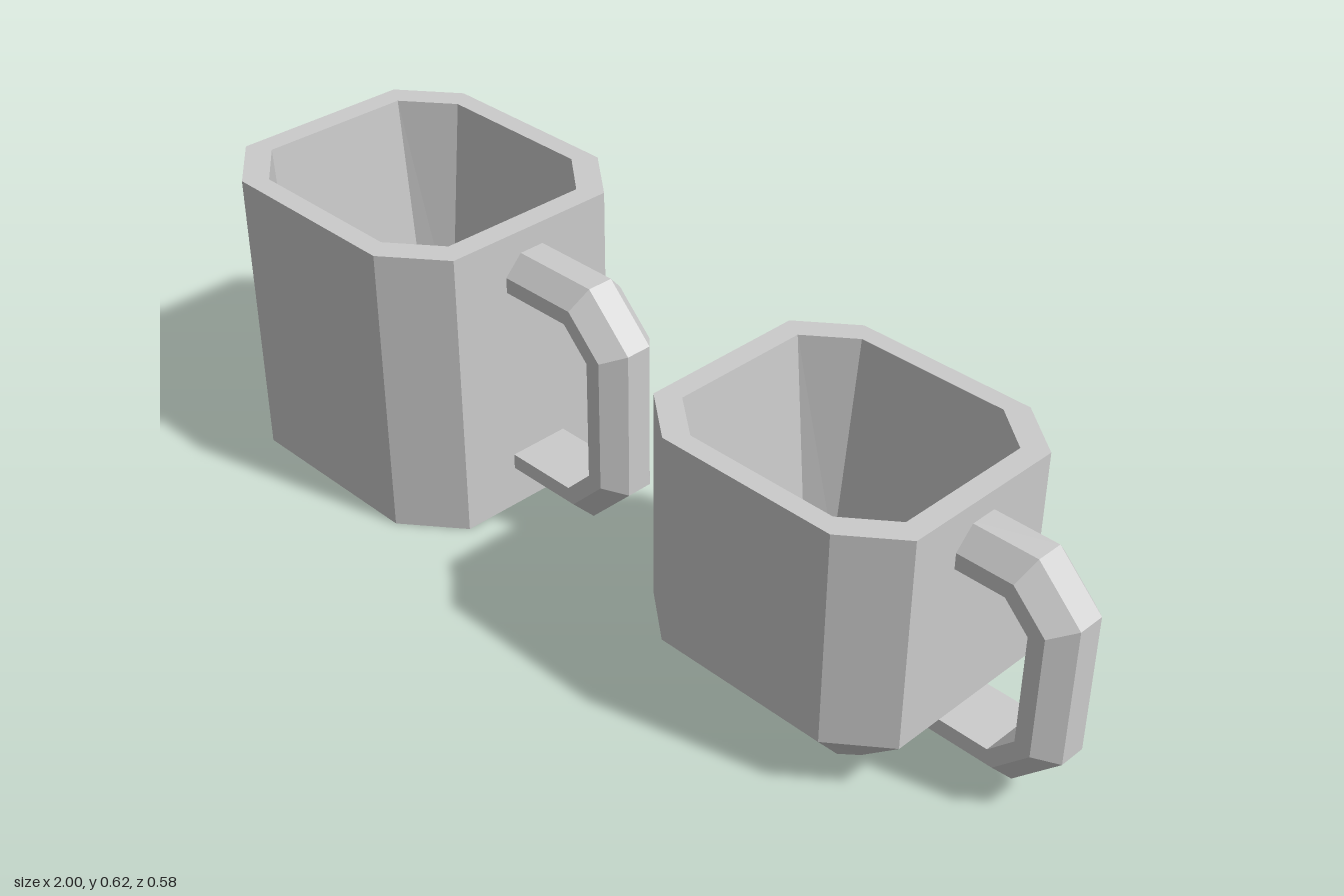
import * as THREE from 'three';

const material = new THREE.MeshStandardMaterial({ color: 0xcccccc, flatShading: true });

// Joins a list of rings (arrays of Vector3) into a closed, faceted surface.
function loft(rings) {
  const pos = [];
  const tri = (...pts) => pts.forEach((p) => pos.push(p.x, p.y, p.z));
  const n = rings[0].length;
  const centre = (ring) => ring.reduce((s, p) => s.add(p), new THREE.Vector3()).divideScalar(n);
  const first = rings[0], last = rings[rings.length - 1];
  const c0 = centre(first), c1 = centre(last);
  for (let j = 0; j < n; j++) {
    const k = (j + 1) % n;
    tri(c0, first[j], first[k]);
    tri(c1, last[k], last[j]);
    for (let i = 0; i < rings.length - 1; i++) {
      const a = rings[i], b = rings[i + 1];
      tri(a[j], b[j], b[k]);
      tri(a[j], b[k], a[k]);
    }
  }
  const geometry = new THREE.BufferGeometry();
  geometry.setAttribute('position', new THREE.Float32BufferAttribute(pos, 3));
  geometry.computeVertexNormals();
  return geometry;
}

// Rectangle with cut corners: half sizes hx, hz and half lengths fx, fz of the flats.
function octagon(y, hx, hz, fx, fz) {
  return [[hx, -fz], [hx, fz], [fx, hz], [-fx, hz], [-hx, fz], [-hx, -fz], [-fx, -hz], [fx, -hz]]
    .map(([x, z]) => new THREE.Vector3(x, y, z));
}

// Handle: a six-sided section swept along a mitred C-shaped path.
function handleGeometry({ startTop, startBottom, bend, reach, top, upper, lower, bottom }) {
  const section = [[0.073, 0.067], [0.04, 0.067], [0, 0.028], [0, -0.028], [0.04, -0.067], [0.073, -0.067]];
  const t = Math.tan(Math.PI / 8);
  // x, y of the outer edge, then the inward mitre direction
  const path = [
    [startTop, top, 0, -1], [bend, top, -t, -1], [reach, upper, -1, -t],
    [reach, lower, -1, t], [bend, bottom, -t, 1], [startBottom, bottom, 0, 1],
  ];
  return loft(path.map(([x, y, dx, dy]) =>
    section.map(([d, z]) => new THREE.Vector3(x + dx * d, y + dy * d, z))));
}

function mug(name, x, rings, handle) {
  const group = new THREE.Group();
  group.name = name;
  group.position.x = x;
  const body = new THREE.Mesh(loft(rings), material);
  body.name = 'cupBody';
  const grip = new THREE.Mesh(handleGeometry(handle), material);
  grip.name = 'handle';
  group.add(body, grip);
  return group;
}

// Rim, inner wall and dished floor, scaled from the outer half sizes.
function upperRings(height, hx, hz, fx, fz) {
  const s = 0.85;
  return [
    octagon(height, hx, hz, fx, fz),
    octagon(height, hx * s, hz * s, fx * s, fz * s),
    octagon(0.1, hx * 0.72, hz * 0.72, hx * 0.58, hz * 0.58),
    octagon(0.07, hx * 0.4, hz * 0.4, hx * 0.38, hz * 0.38),
  ];
}

export function createModel() {
  const model = new THREE.Group();
  model.name = 'mugs';

  // Tall straight-sided mug
  const tall = [0.33, 0.288, 0.21, 0.193];
  model.add(mug('tallMug', -0.67, [octagon(0, ...tall), ...upperRings(0.625, ...tall)], {
    startTop: 0.315, startBottom: 0.315, bend: 0.523, reach: 0.627,
    top: 0.577, upper: 0.473, lower: 0.154, bottom: 0.05,
  }));

  // Smaller mug with a tapered foot
  const small = [0.298, 0.26, 0.19, 0.175];
  model.add(mug('taperedMug', 0.473, [
    octagon(0, 0.182, 0.158, 0.15, 0.13),
    octagon(0.12, ...small),
    ...upperRings(0.563, ...small),
  ], {
    startTop: 0.28, startBottom: 0.215, bend: 0.432, reach: 0.527,
    top: 0.521, upper: 0.426, lower: 0.14, bottom: 0.045,
  }));

  return model;
}
